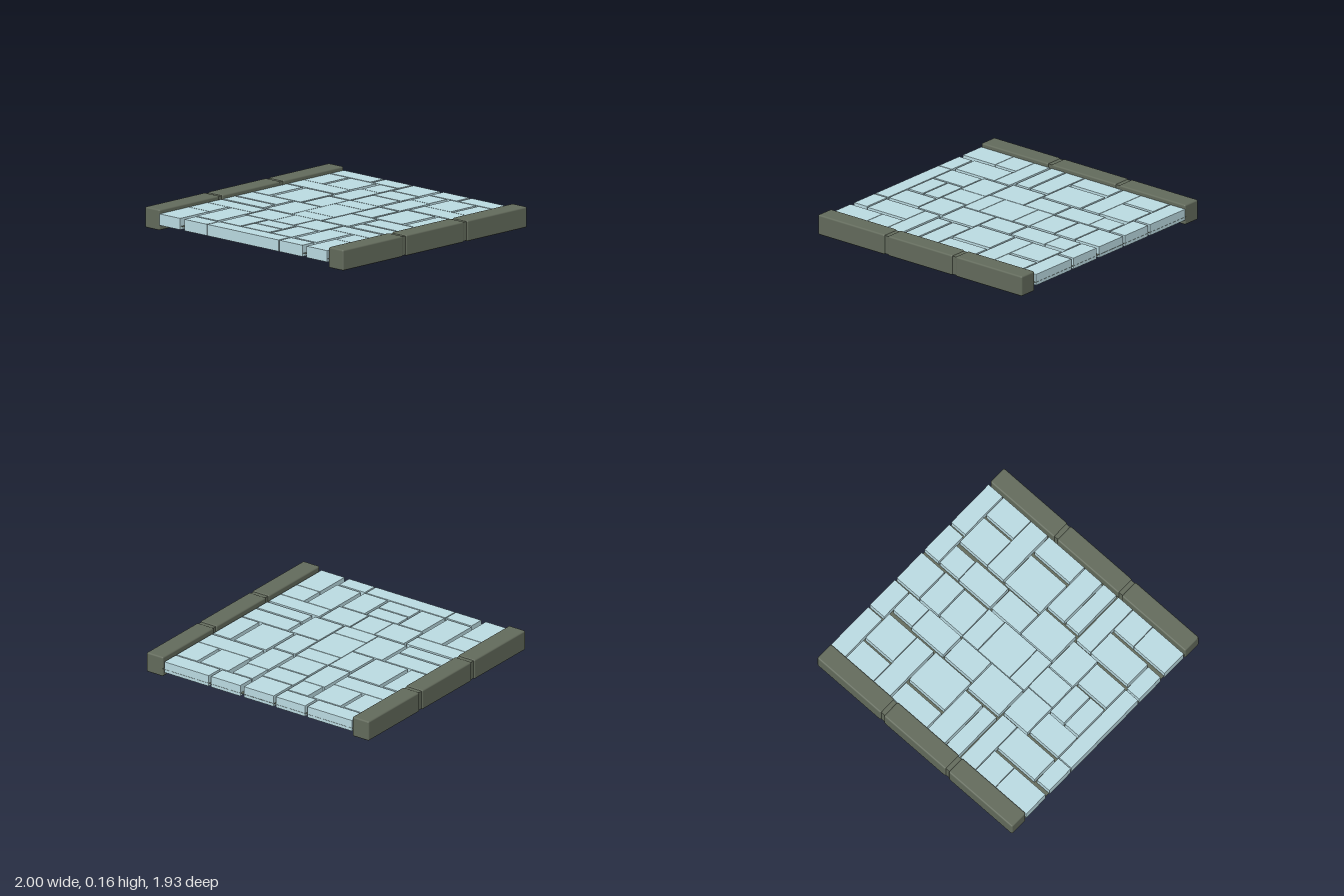
import * as THREE from 'three';
import { RoundedBoxGeometry } from 'three/addons/geometries/RoundedBoxGeometry.js';

const TILE_BOTTOM = 0.04, TILE_TOP = 0.125, BED_HEIGHT = 0.065;
const MIRROR_X = -0.008; // axis of the mirrored paving pattern

// Paving slabs as [x0, z0, x1, z1]: the middle column, and one half that is mirrored
const middleSlabs = [
  [-0.147, -0.963, 0.12, -0.74], [-0.152, -0.73, 0.126, -0.548], [-0.147, -0.538, 0.12, -0.313],
  [-0.156, -0.307, 0.131, -0.158], [-0.158, -0.152, 0.136, 0.158], [-0.156, 0.163, 0.136, 0.302],
  [-0.115, 0.307, 0.094, 0.543], [-0.147, 0.553, 0.126, 0.687], [-0.147, 0.698, 0.126, 0.832],
  [-0.366, 0.842, 0.345, 0.962],
];
const halfSlabs = [
  [-0.85, -0.964, -0.452, -0.826], [-0.43, -0.964, -0.168, -0.826],
  [-0.85, -0.815, -0.666, -0.548], [-0.639, -0.815, -0.386, -0.548], [-0.345, -0.815, -0.168, -0.628],
  [-0.356, -0.623, -0.163, -0.313], [-0.85, -0.543, -0.382, -0.382],
  [-0.85, -0.366, -0.693, -0.019], [-0.66, -0.366, -0.377, -0.019], [-0.356, -0.297, -0.163, -0.019],
  [-0.85, -0.008, -0.447, 0.158], [-0.85, 0.174, -0.447, 0.297], [-0.42, -0.008, -0.163, 0.297],
  [-0.85, 0.318, -0.4, 0.457], [-0.382, 0.313, -0.12, 0.543],
  [-0.85, 0.463, -0.644, 0.655], [-0.612, 0.463, -0.398, 0.826], [-0.366, 0.553, -0.163, 0.832],
  [-0.85, 0.66, -0.644, 0.962], [-0.602, 0.842, -0.374, 0.962],
];

// Box without its underside
function openBox(w, h, d) {
  const geometry = new THREE.BoxGeometry(w, h, d);
  geometry.setIndex(Array.from(geometry.index.array).filter((_, i) => i < 18 || i >= 24));
  geometry.clearGroups();
  return geometry;
}

export function createModel() {
  const paving = new THREE.MeshStandardMaterial({ name: 'paleBlueStone', color: 0xbcdce3, side: THREE.DoubleSide });
  const stone = new THREE.MeshStandardMaterial({ name: 'darkOliveStone', color: 0x636b5c, side: THREE.DoubleSide });
  const model = new THREE.Group();
  model.name = 'pavedPath';

  // Slabs: open shells whose sides reach below the mortar bed
  const slabs = new THREE.Group();
  slabs.name = 'pavingSlabs';
  const addSlab = (x0, z0, x1, z1) => {
    const slab = new THREE.Mesh(openBox(x1 - x0, TILE_TOP - TILE_BOTTOM, z1 - z0), paving);
    slab.name = 'slab';
    slab.position.set((x0 + x1) / 2, (TILE_TOP + TILE_BOTTOM) / 2, (z0 + z1) / 2);
    slabs.add(slab);
  };
  middleSlabs.forEach((s) => addSlab(...s));
  halfSlabs.forEach(([x0, z0, x1, z1]) => {
    addSlab(x0, z0, x1, z1);
    addSlab(2 * MIRROR_X - x1, z0, 2 * MIRROR_X - x0, z1);
  });
  model.add(slabs);

  // Mortar bed seen in the gaps and from below
  const bed = new THREE.Mesh(new THREE.PlaneGeometry(1.71, 1.926), stone);
  bed.name = 'mortarBed';
  bed.rotation.x = -Math.PI / 2;
  bed.position.set(-0.005, BED_HEIGHT, -0.003);
  model.add(bed);

  // Kerbs: three rounded blocks each, joined by a slightly recessed core
  for (const [name, x] of [['rightKerb', -0.926], ['leftKerb', 0.923]]) {
    const kerb = new THREE.Group();
    kerb.name = name;
    kerb.position.set(x, 0.0775, 0);
    for (const [z, length] of [[-0.649, 0.627], [0, 0.606], [0.649, 0.627]]) {
      const block = new THREE.Mesh(new RoundedBoxGeometry(0.148, 0.155, length, 2, 0.012), stone);
      block.name = 'kerbBlock';
      block.position.z = z;
      kerb.add(block);
    }
    for (const z of [-0.319, 0.319]) {
      const joint = new THREE.Mesh(new THREE.BoxGeometry(0.13, 0.141, 0.06), stone);
      joint.name = 'kerbJoint';
      joint.position.z = z;
      kerb.add(joint);
    }
    model.add(kerb);
  }
  return model;
}
